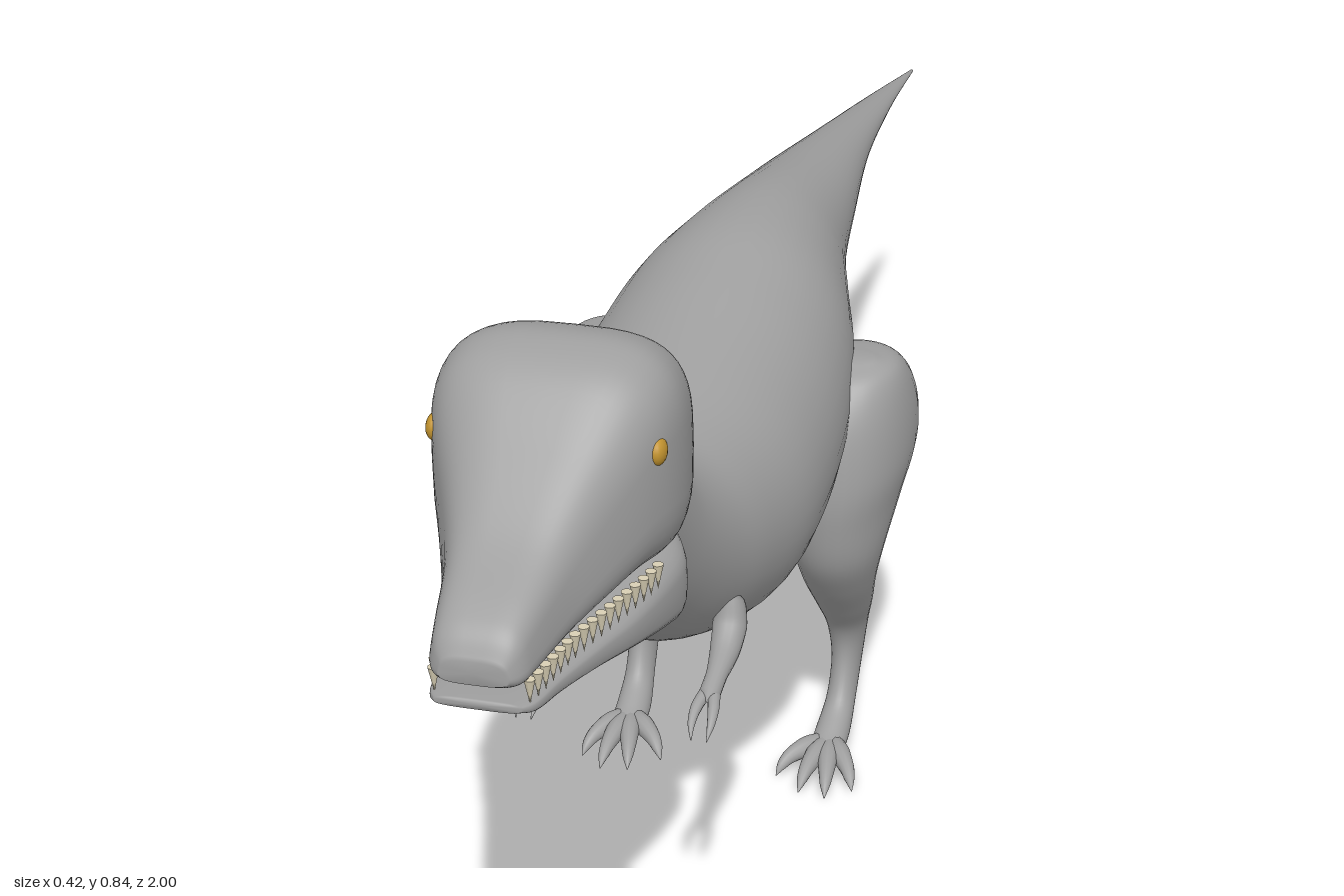
import * as THREE from 'three';

const V = (x, y, z) => new THREE.Vector3(x, y, z);

// Smooth closed skin through cross-sections.
// Each row: [zA, yA, zB, yB, halfWidth, centreX]; A and B are opposite edges of the section.
// n sets squareness of the section, taper(t) narrows it toward edge A.
function loft(rows, { n = 2, taper = () => 0, steps = 6, sides = 32, side = 1 } = {}) {
  const a = new THREE.CatmullRomCurve3(rows.map(r => V(r[4], r[1], r[0])), false, 'catmullrom', 0.5);
  const b = new THREE.CatmullRomCurve3(rows.map(r => V((r[5] || 0) * side, r[3], r[2])), false, 'catmullrom', 0.5);
  const pos = [], idx = [], rings = (rows.length - 1) * steps;
  const power = c => Math.sign(c) * Math.abs(c) ** (2 / n);
  for (let i = 0; i <= rings; i++) {
    const t = i / rings, A = a.getPoint(t), B = b.getPoint(t);
    for (let j = 0; j < sides; j++) {
      const th = (j / sides) * Math.PI * 2, u = power(Math.cos(th)), v = power(Math.sin(th));
      const k = (v + 1) / 2;
      pos.push(B.x + A.x * u * (1 - taper(t) * k), B.y + (A.y - B.y) * k, B.z + (A.z - B.z) * k);
    }
  }
  for (let i = 0; i < rings; i++) for (let j = 0; j < sides; j++) {
    const p = i * sides + j, q = i * sides + (j + 1) % sides;
    idx.push(p, q, q + sides, p, q + sides, p + sides);
  }
  // end caps
  for (const [ring, flip] of [[0, true], [rings, false]]) {
    const A = a.getPoint(ring / rings), B = b.getPoint(ring / rings), c = pos.length / 3;
    pos.push(B.x, (A.y + B.y) / 2, (A.z + B.z) / 2);
    for (let j = 0; j < sides; j++) {
      const p = ring * sides + j, q = ring * sides + (j + 1) % sides;
      flip ? idx.push(c, q, p) : idx.push(c, p, q);
    }
  }
  const g = new THREE.BufferGeometry();
  g.setAttribute('position', new THREE.Float32BufferAttribute(pos, 3));
  g.setIndex(idx);
  g.computeVertexNormals();
  return g;
}

// Tapered tube through points [x, y, z, radius]
function taperedTube(pts, n = 16, sides = 12) {
  const curve = new THREE.CatmullRomCurve3(pts.map(p => V(p[0], p[1], p[2])));
  const g = new THREE.TubeGeometry(curve, n, 1, sides), pos = g.attributes.position, v = V(0, 0, 0);
  for (let i = 0; i < pos.count; i++) {
    const u = Math.floor(i / (sides + 1)) / n, c = curve.getPointAt(u);
    const f = curve.getUtoTmapping(u) * (pts.length - 1), k = Math.min(Math.floor(f), pts.length - 2);
    const r = THREE.MathUtils.lerp(pts[k][3], pts[k + 1][3], f - k);
    v.fromBufferAttribute(pos, i).sub(c).multiplyScalar(r).add(c);
    pos.setXYZ(i, v.x, v.y, v.z);
  }
  return g;
}

export function createModel() {
  const model = new THREE.Group();
  model.name = 'dinosaur';
  const mat = (name, color) => Object.assign(new THREE.MeshStandardMaterial({ color }), { name });
  const skin = mat('grey skin', 0xa0a0a0), eyeGold = mat('gold eye', 0xc2932f), ivory = mat('ivory teeth', 0xd8cfb4);
  const add = (name, geo, m = skin, parent = model) => {
    const mesh = new THREE.Mesh(geo, m);
    mesh.name = name;
    parent.add(mesh);
    return mesh;
  };

  // Tail, trunk and neck
  add('body', loft([
    [-1, .457, -1, .453, .002], [-.75, .512, -.75, .489, .02], [-.5, .566, -.5, .506, .041],
    [-.3, .608, -.3, .495, .066], [-.15, .641, -.15, .455, .085], [-.05, .656, -.05, .405, .11],
    [.05, .66, .05, .358, .138], [.15, .65, .15, .325, .152], [.25, .637, .25, .311, .155],
    [.33, .628, .33, .314, .15], [.42, .62, .4, .335, .13], [.48, .622, .465, .368, .11],
    [.53, .642, .53, .42, .096], [.575, .685, .59, .47, .087], [.64, .74, .66, .54, .08],
  ], { sides: 40 }));

  // Upper head: [z, top, bottom, half-width]
  const headRows = [
    [.6, .735, .63, .07], [.61, .77, .606, .088], [.65, .814, .598, .107], [.7, .836, .602, .117],
    [.74, .838, .612, .117], [.78, .823, .62, .107], [.83, .775, .622, .09], [.895, .722, .623, .068],
    [.96, .692, .624, .054], [.985, .676, .625, .047], [.999, .655, .632, .034],
  ];
  const section = r => [r[0], r[1], r[0], r[2], r[3]];
  const snoutTaper = t => 0.22 * THREE.MathUtils.smoothstep(t, 0.45, 0.7);
  add('upperHead', loft(headRows.map(section), { n: 3.4, taper: snoutTaper, sides: 48 }));

  // Lower jaw
  add('lowerJaw', loft([
    [.604, .6, .56, .07], [.615, .602, .528, .085], [.65, .604, .504, .1], [.7, .603, .518, .1],
    [.78, .602, .546, .09], [.85, .604, .566, .074], [.92, .607, .582, .058], [.97, .61, .593, .05],
    [.99, .611, .602, .04],
  ].map(section), { n: 3.4, sides: 40 }));

  // Teeth along both sides of the upper lip
  const teeth = new THREE.Group();
  teeth.name = 'teeth';
  model.add(teeth);
  const lipHalfWidth = z => {
    const i = headRows.findIndex(r => r[0] >= z), p = headRows[i - 1], q = headRows[i];
    return THREE.MathUtils.mapLinear(z, p[0], q[0], p[3], q[3]);
  };
  const tooth = new THREE.ConeGeometry(.0055, .026, 8).rotateX(Math.PI);
  for (const s of [1, -1]) for (let i = 0; i < 17; i++) {
    const z = .755 + i * .0138;
    add('tooth', tooth, ivory, teeth).position.set(s * lipHalfWidth(z) * .88, .618, z);
  }

  for (const s of [1, -1]) {
    const sideName = s > 0 ? 'left' : 'right';

    // Eye
    const eye = add(sideName + 'Eye', new THREE.SphereGeometry(.0135, 20, 14), eyeGold);
    eye.scale.x = .65;
    eye.position.set(s * .105, .756, .769);

    // Leg from hip to instep
    const leg = new THREE.Group();
    leg.name = sideName + 'Leg';
    model.add(leg);
    add('thighAndShin', loft([
      [.088, .528, .062, .528, .02, .145], [.122, .512, .004, .515, .05, .142],
      [.148, .468, -.048, .475, .068, .138], [.16, .4, -.062, .43, .073, .136],
      [.158, .345, -.03, .375, .065, .132], [.145, .29, .02, .318, .054, .13],
      [.112, .24, .03, .265, .044, .128], [.07, .19, .002, .205, .034, .127],
      [.037, .147, -.029, .145, .024, .125], [.031, .105, -.026, .095, .018, .125],
      [.05, .062, .003, .052, .017, .124], [.085, .043, .045, .016, .02, .122],
      [.115, .034, .098, .01, .02, .121],
    ], { side: s }), skin, leg);

    // Toes ending in claws: [sideways reach, tip z]
    for (const [dx, z] of [[-.052, .138], [-.019, .167], [.013, .172], [.041, .15]]) {
      const x = f => s * (.122 + dx * f), zz = f => .085 + (z - .085) * f;
      add('toe', taperedTube([
        [x(.1), .024, zz(0), .012], [x(.45), .027, zz(.4), .0125], [x(.75), .022, zz(.7), .009],
        [x(.9), .014, zz(.88), .006], [x(1), .003, zz(1), .0005],
      ]), skin, leg);
    }

    // Small arm with two clawed fingers
    const arm = new THREE.Group();
    arm.name = sideName + 'Arm';
    model.add(arm);
    add('upperArmAndForearm', taperedTube([
      [s * .092, .432, .448, .001], [s * .094, .42, .452, .015], [s * .095, .398, .462, .0185],
      [s * .095, .38, .483, .016], [s * .094, .368, .515, .011], [s * .093, .36, .54, .011],
      [s * .093, .356, .55, .001],
    ], 24, 16), skin, arm);
    for (const dx of [-.011, .009]) add('finger', taperedTube([
      [s * (.093 + dx * .3), .362, .532, .007], [s * (.093 + dx * .9), .353, .557, .006],
      [s * (.093 + dx), .343, .572, .004], [s * (.093 + dx * .8), .33, .583, .0005],
    ]), skin, arm);
  }
  return model;
}
